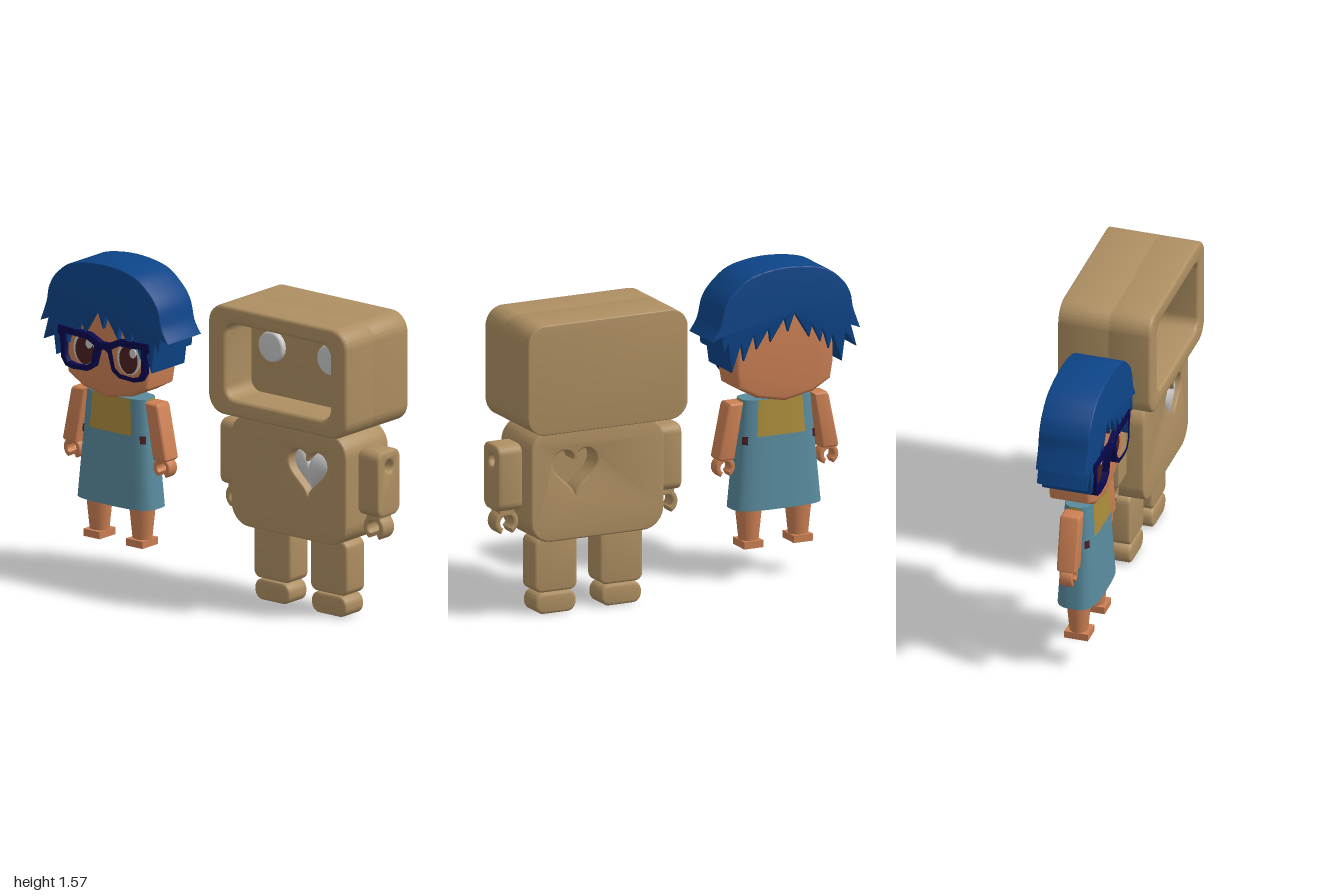
import * as THREE from 'three';
import { toCreasedNormals } from 'three/addons/utils/BufferGeometryUtils.js';
import { ParametricGeometry } from 'three/addons/geometries/ParametricGeometry.js';

const mat = (name, color) => Object.assign(new THREE.MeshStandardMaterial({ color }), { name });
const M = {
  tan: mat('cardboard tan', 0xae8f62),
  silver: mat('silver', 0xcacaca),
  hair: mat('blue hair', 0x0d4488),
  skin: mat('skin', 0xcb7f53),
  dress: mat('teal dress', 0x588a9d),
  shirt: mat('yellow shirt', 0xaa8c3a),
  brown: mat('dark brown', 0x4a2020),
  frame: mat('navy frame', 0x06064c),
};

const pts = (list) => list.map(([x, y]) => new THREE.Vector2(x, y));
const poly = (list) => new THREE.Shape(pts(list));

function roundRect(x0, x1, y0, y1, r, Type = THREE.Shape) {
  const s = new Type();
  s.absarc(x1 - r, y1 - r, r, 0, Math.PI / 2);
  s.absarc(x0 + r, y1 - r, r, Math.PI / 2, Math.PI);
  s.absarc(x0 + r, y0 + r, r, Math.PI, Math.PI * 1.5);
  s.absarc(x1 - r, y0 + r, r, Math.PI * 1.5, Math.PI * 2);
  s.closePath();
  return s;
}

function ellipse(x, y, rx, ry) {
  return new THREE.Shape().absellipse(x, y, rx, ry, 0, Math.PI * 2);
}

// Shape extruded between two depths, the bevel staying inside the outline
function slabGeo(shape, z0, z1, b = 0) {
  const g = new THREE.ExtrudeGeometry(shape, {
    depth: z1 - z0 - 2 * b, curveSegments: 10, bevelEnabled: b > 0,
    bevelThickness: b, bevelSize: b, bevelOffset: -b, bevelSegments: 3,
  });
  g.translate(0, 0, z0 + b);
  return toCreasedNormals(g, 0.6);
}

function add(parent, name, geo, material) {
  const m = new THREE.Mesh(geo, material);
  m.name = name;
  parent.add(m);
  return m;
}

// Gripping hand, open at the bottom
function clawShape(x, y, R, r) {
  const a0 = -Math.PI / 2 + 0.5, a1 = Math.PI * 1.5 - 0.5;
  const s = new THREE.Shape();
  s.absarc(x, y, R, a0, a1, false);
  s.absarc(x, y, r, a1, a0, true);
  s.closePath();
  return s;
}

function heartPoint(t, k = 1) {
  const x = -16 * Math.sin(t) ** 3;
  const y = 13 * Math.cos(t) - 5 * Math.cos(2 * t) - 2 * Math.cos(3 * t) - Math.cos(4 * t);
  return [0.62 + x * 0.0075 * k, 0.742 + y * 0.0077 * k];
}

function buildRobot() {
  const g = new THREE.Group();
  g.name = 'robot';
  const cx = 0.48;

  // Head with a deep face recess
  const front = roundRect(0.05, 0.915, 0.945, 1.495, 0.095);
  front.holes.push(roundRect(0.158, 0.812, 1.03, 1.41, 0.06, THREE.Path));
  add(g, 'headFrame', slabGeo(front, 0, 0.23, 0.016), M.tan);
  add(g, 'headBack', slabGeo(roundRect(0.05, 0.915, 0.945, 1.495, 0.095), -0.24, 0.03, 0.005), M.tan);
  for (const x of [0.298, 0.665])
    add(g, 'robotEye', slabGeo(ellipse(x, 1.275, 0.077, 0.077), 0.02, 0.06, 0.012), M.silver);

  // Body with a heart cut in front and back
  const body = roundRect(0.14, 0.86, 0.385, 0.945, 0.11);
  const heart = Array.from({ length: 48 }, (_, i) => heartPoint((i / 48) * Math.PI * 2));
  body.holes.push(new THREE.Path(pts(heart)));
  add(g, 'robotBody', slabGeo(body, -0.16, 0.165, 0.01), M.tan);
  add(g, 'heartBacking', slabGeo(roundRect(0.46, 0.78, 0.57, 0.88, 0.03), -0.05, 0.1), M.tan);
  const pillow = new ParametricGeometry((u, v, p) => {
    const [x, y] = heartPoint(u * Math.PI * 2, Math.cos(v * Math.PI / 2));
    p.set(x, y, 0.1 + 0.06 * Math.sin(v * Math.PI / 2));
  }, 48, 8);
  add(g, 'heart', pillow, M.silver);

  for (const s of [-1, 1]) {
    // Arm with a round shoulder hole, extruded sideways
    const arm = roundRect(-0.085, 0.085, 0.54, 0.87, 0.045);
    arm.holes.push(new THREE.Path().absarc(0, 0.79, 0.03, 0, Math.PI * 2));
    const armGeo = slabGeo(arm, -0.066, 0.066, 0.014).rotateY(Math.PI / 2);
    armGeo.translate(cx + 0.02 + s * 0.431, 0, 0);
    add(g, 'robotArm', armGeo, M.tan);
    const hx = cx + 0.02 + s * 0.431;
    add(g, 'robotHand', slabGeo(clawShape(hx, 0.478, 0.064, 0.034), -0.045, 0.045, 0.01), M.tan);
    add(g, 'robotWrist', slabGeo(roundRect(hx - 0.04, hx + 0.04, 0.515, 0.56, 0.01), -0.045, 0.045), M.tan);
    // Leg and foot
    const lx = 0.4985 + s * 0.177;
    add(g, 'robotLeg', slabGeo(roundRect(lx - 0.116, lx + 0.116, 0.108, 0.384, 0.04), -0.066, 0.074, 0.014), M.tan);
    add(g, 'robotFoot', slabGeo(roundRect(lx - 0.109, lx + 0.109, 0, 0.106, 0.046), -0.066, 0.074, 0.014), M.tan);
  }
  return g;
}

function buildGirl() {
  const g = new THREE.Group();
  g.name = 'girl';
  const cx = -0.595, cz = 0.11;

  // Head with a pointed chin
  const face = poly([[-0.82, 1.42], [-0.858, 1.2], [-0.86, 1.06], [-0.845, 0.975], [-0.75, 0.92], [-0.6, 0.89],
    [-0.45, 0.92], [-0.35, 0.975], [-0.335, 1.06], [-0.337, 1.2], [-0.375, 1.42]]);
  add(g, 'head', slabGeo(face, 0, 0.21, 0.018), M.skin);

  // Hair: smooth crown and jagged fringe
  const hair = new THREE.Shape();
  hair.moveTo(-0.195, 1.235);
  hair.splineThru(pts([[-0.235, 1.30], [-0.262, 1.40], [-0.32, 1.475], [-0.42, 1.54], [-0.6, 1.565],
    [-0.79, 1.54], [-0.89, 1.475], [-0.94, 1.40], [-0.957, 1.32], [-0.995, 1.215]]));
  for (const [x, y] of [[-0.945, 1.235], [-0.975, 1.125], [-0.915, 1.2], [-0.895, 1.06], [-0.845, 1.2],
    [-0.825, 1.13], [-0.795, 1.23], [-0.78, 1.17], [-0.735, 1.26], [-0.72, 1.2], [-0.67, 1.28], [-0.64, 1.33],
    [-0.605, 1.24], [-0.585, 1.31], [-0.51, 1.2], [-0.5, 1.27], [-0.435, 1.17], [-0.42, 1.25],
    [-0.365, 1.12], [-0.35, 1.21], [-0.3, 1.07], [-0.28, 1.22], [-0.255, 1.17], [-0.245, 1.25]]) hair.lineTo(x, y);
  hair.closePath();
  add(g, 'hair', slabGeo(hair, -0.02, 0.235, 0.006), M.hair);

  // Eyes and glasses
  for (const s of [-1, 1]) {
    const ex = cx + s * 0.137;
    add(g, 'eyeWhite', slabGeo(ellipse(ex, 1.112, 0.072, 0.082), 0.208, 0.214), M.silver);
    add(g, 'iris', slabGeo(ellipse(ex, 1.108, 0.056, 0.072), 0.21, 0.218), M.brown);
    add(g, 'eyeGlint', slabGeo(ellipse(ex + 0.03, 1.145, 0.02, 0.024), 0.213, 0.221), M.silver);
    const at = (list) => pts(list.map(([x, y]) => [cx + s * x, y]));
    const rim = new THREE.Shape(at([[0.015, 1.17], [0.09, 1.205], [0.28, 1.215], [0.285, 1.175], [0.268, 1.16],
      [0.262, 1.06], [0.235, 1.02], [0.19, 1.01], [0.1, 1.015], [0.055, 1.045], [0.03, 1.13], [0.015, 1.14]]));
    rim.holes.push(new THREE.Path(at([[0.055, 1.15], [0.1, 1.175], [0.24, 1.18], [0.24, 1.07], [0.22, 1.04],
      [0.185, 1.032], [0.11, 1.037], [0.075, 1.062]])));
    add(g, 'glassesRim', slabGeo(rim, 0.212, 0.244), M.frame);
  }
  add(g, 'glassesBridge', slabGeo(roundRect(cx - 0.03, cx + 0.03, 1.14, 1.172, 0.01), 0.212, 0.243), M.frame);

  // Dress surface: rounded cross-section flaring to the hem
  const y0 = 0.355, y1 = 0.9;
  const pow = (v) => Math.sign(v) * Math.abs(v) ** 0.6;
  const onDress = (a, y, k, p, off = 0) => {
    const t = (y - y0) / (y1 - y0);
    const w = THREE.MathUtils.lerp(0.235, 0.185, t) + off;
    const d = THREE.MathUtils.lerp(0.105, 0.075, t) + off;
    p.set(cx + 0.005 + pow(Math.sin(a)) * w * k, y, cz + pow(Math.cos(a)) * d * k);
  };
  const wrap = (name, material, a0, a1, ya, yb, off) => add(g, name, new ParametricGeometry((u, v, p) =>
    onDress(a0 + (a1 - a0) * u, ya + (yb - ya) * v, 1, p, off), a1 - a0 > 3 ? 64 : 12, 4), material);
  wrap('dress', M.dress, 0, Math.PI * 2, y0, y1, 0);
  add(g, 'dressHem', new ParametricGeometry((u, v, p) => onDress(u * Math.PI * 2, y0, v, p), 64, 1), M.dress);
  add(g, 'dressTop', new ParametricGeometry((u, v, p) => onDress(u * Math.PI * 2, y1, 1 - v, p), 64, 1), M.dress);
  for (const a of [0, Math.PI]) {
    wrap('shirtPanel', M.shirt, a - 0.48, a + 0.48, 0.72, 0.9, 0.004);
    for (const s of [-1, 1]) wrap('dressButton', M.brown, a + s * 1.0 - 0.16, a + s * 1.0 + 0.16, 0.682, 0.722, 0.005);
  }
  for (const s of [-1, 1]) wrap('shirtSide', M.shirt, s * Math.PI / 2 - 0.18, s * Math.PI / 2 + 0.18, 0.74, 0.9, 0.004);

  for (const s of [-1, 1]) {
    // Arm and hand
    const arm = poly([[0.19, 0.89], [0.262, 0.89], [0.272, 0.875], [0.325, 0.62], [0.315, 0.61], [0.24, 0.61]]
      .map(([x, y]) => [cx + s * x, y]));
    add(g, 'arm', slabGeo(arm, 0.06, 0.16, 0.012), M.skin);
    add(g, 'hand', slabGeo(clawShape(cx + s * 0.28, 0.572, 0.052, 0.026), 0.078, 0.142, 0.008), M.skin);
    // Leg and foot
    const lx = cx + 0.006 + s * 0.134;
    const leg = new THREE.CylinderGeometry(0.069, 0.05, 0.18, 24);
    leg.scale(1, 1, 0.9).translate(lx, 0.28, cz + 0.003);
    add(g, 'leg', leg, M.skin);
    add(g, 'foot', new THREE.BoxGeometry(0.102, 0.036, 0.12).translate(lx, 0.175, cz + 0.005), M.skin);
  }
  return g;
}

export function createModel() {
  const model = new THREE.Group();
  model.name = 'girlAndRobot';
  model.add(buildRobot(), buildGirl());
  return model;
}
